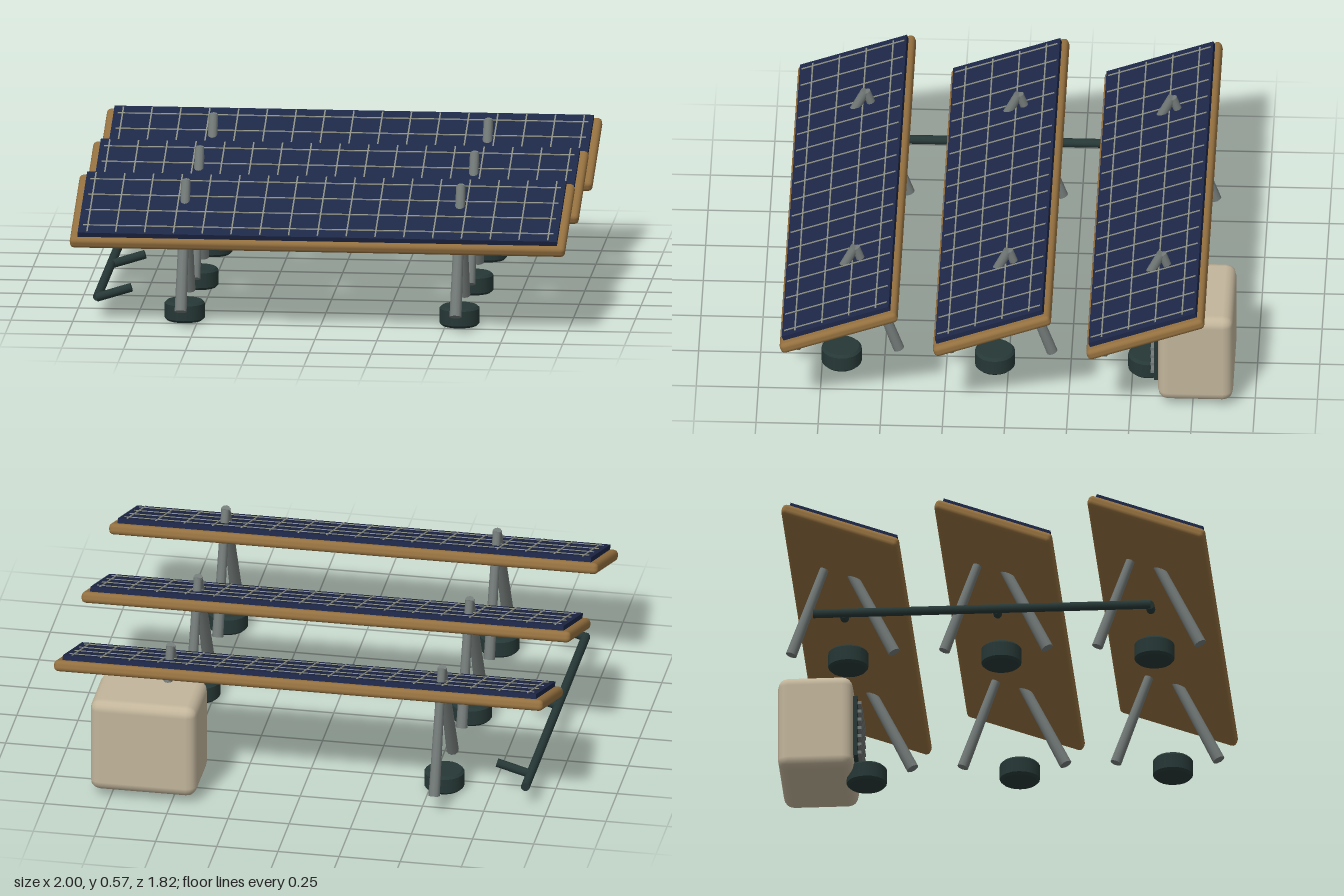
import * as THREE from 'three';
import { RoundedBoxGeometry } from 'three/addons/geometries/RoundedBoxGeometry.js';

const material = (name, color) => {
  const m = new THREE.MeshStandardMaterial({ color });
  m.name = name;
  return m;
};

export function createModel() {
  const wood = material('tan frame', 0x94703f);
  const blue = material('navy cells', 0x1d2747);
  const line = material('grid line grey', 0x8a8d80);
  const steel = material('steel grey', 0x727a78);
  const dark = material('dark green grey', 0x263836);
  const cream = material('cream casing', 0xc2b59b);

  const model = new THREE.Group();
  model.name = 'solarArray';

  const add = (parent, name, geometry, mat, x = 0, y = 0, z = 0) => {
    const mesh = new THREE.Mesh(geometry, mat);
    mesh.name = name;
    mesh.position.set(x, y, z);
    parent.add(mesh);
    return mesh;
  };

  // Round bar between two points, radius r0 at a and r1 at b
  const bar = (parent, name, a, b, r0, r1, mat, sides = 10) => {
    const from = new THREE.Vector3(...a), to = new THREE.Vector3(...b);
    const dir = to.clone().sub(from);
    const mesh = add(parent, name, new THREE.CylinderGeometry(r1, r0, dir.length(), sides), mat);
    mesh.position.copy(from).add(to).multiplyScalar(0.5);
    mesh.quaternion.setFromUnitVectors(new THREE.Vector3(0, 1, 0), dir.normalize());
    return mesh;
  };

  const frameGeo = new RoundedBoxGeometry(2, 0.046, 0.5, 2, 0.018);
  const cellGeo = new THREE.BoxGeometry(1.935, 0.022, 0.458);
  const longLine = new THREE.BoxGeometry(1.9, 0.005, 0.006);
  const crossLine = new THREE.BoxGeometry(0.006, 0.005, 0.44);

  // Foot with chamfered rims
  const footGeo = new THREE.CylinderGeometry(0.081, 0.081, 0.06, 20, 1, true);
  const rimGeo = new THREE.CylinderGeometry(0.071, 0.081, 0.01, 20);

  for (const rowZ of [-0.617, 0, 0.617]) {
    const row = new THREE.Group();
    row.name = 'panelRow';
    row.position.z = rowZ;
    model.add(row);

    // Tilted panel with its cell grid
    const panel = new THREE.Group();
    panel.name = 'panel';
    panel.position.set(0, 0.437, 0.051);
    panel.rotation.x = 0.35;
    row.add(panel);
    add(panel, 'panelFrame', frameGeo, wood);
    add(panel, 'cellSheet', cellGeo, blue, 0, 0.032, 0);
    for (let i = -8; i <= 8; i++) add(panel, 'crossLine', crossLine, line, i * 0.1163, 0.0435, 0);
    for (let i = 0; i < 4; i++) add(panel, 'longLine', longLine, line, 0, 0.0435, (i - 1.5) * 0.115);

    // A-shaped supports and round feet
    for (const x of [-0.555, 0.555]) {
      bar(row, 'frontLeg', [x, 0.072, 0.24], [x, 0.56, 0.002], 0.025, 0.019, steel);
      bar(row, 'backLeg', [x, 0.072, -0.175], [x, 0.56, -0.002], 0.023, 0.017, steel);
      const foot = new THREE.Group();
      foot.name = 'foot';
      foot.position.set(x, 0.04, 0.055);
      row.add(foot);
      add(foot, 'footSide', footGeo, dark);
      add(foot, 'footTop', rimGeo, dark, 0, 0.035, 0);
      add(foot, 'footBottom', rimGeo, dark, 0, -0.035, 0).rotation.x = Math.PI;
    }

    // Short branch off the cable pipe
    bar(row, 'pipeBranch', [-0.91, 0.085, 0.06], [-0.77, 0.128, 0.055], 0.018, 0.018, dark);
  }

  // Cable pipe along the rows
  bar(model, 'cablePipe', [-0.907, 0.088, 0.68], [-0.907, 0.088, -0.68], 0.018, 0.018, dark);

  // Power cabinet with slatted vent
  const cabinet = new THREE.Group();
  cabinet.name = 'powerCabinet';
  cabinet.position.set(0.617, 0.228, -0.761);
  model.add(cabinet);
  add(cabinet, 'casing', new RoundedBoxGeometry(0.435, 0.4, 0.302, 2, 0.042), cream);
  add(cabinet, 'ventPlate', new THREE.BoxGeometry(0.32, 0.262, 0.02), dark, 0, -0.002, 0.157);
  const slat = new THREE.BoxGeometry(0.27, 0.013, 0.016);
  for (let i = -3; i <= 3; i++) add(cabinet, 'ventSlat', slat, steel, 0, i * 0.0365, 0.174);

  return model;
}
